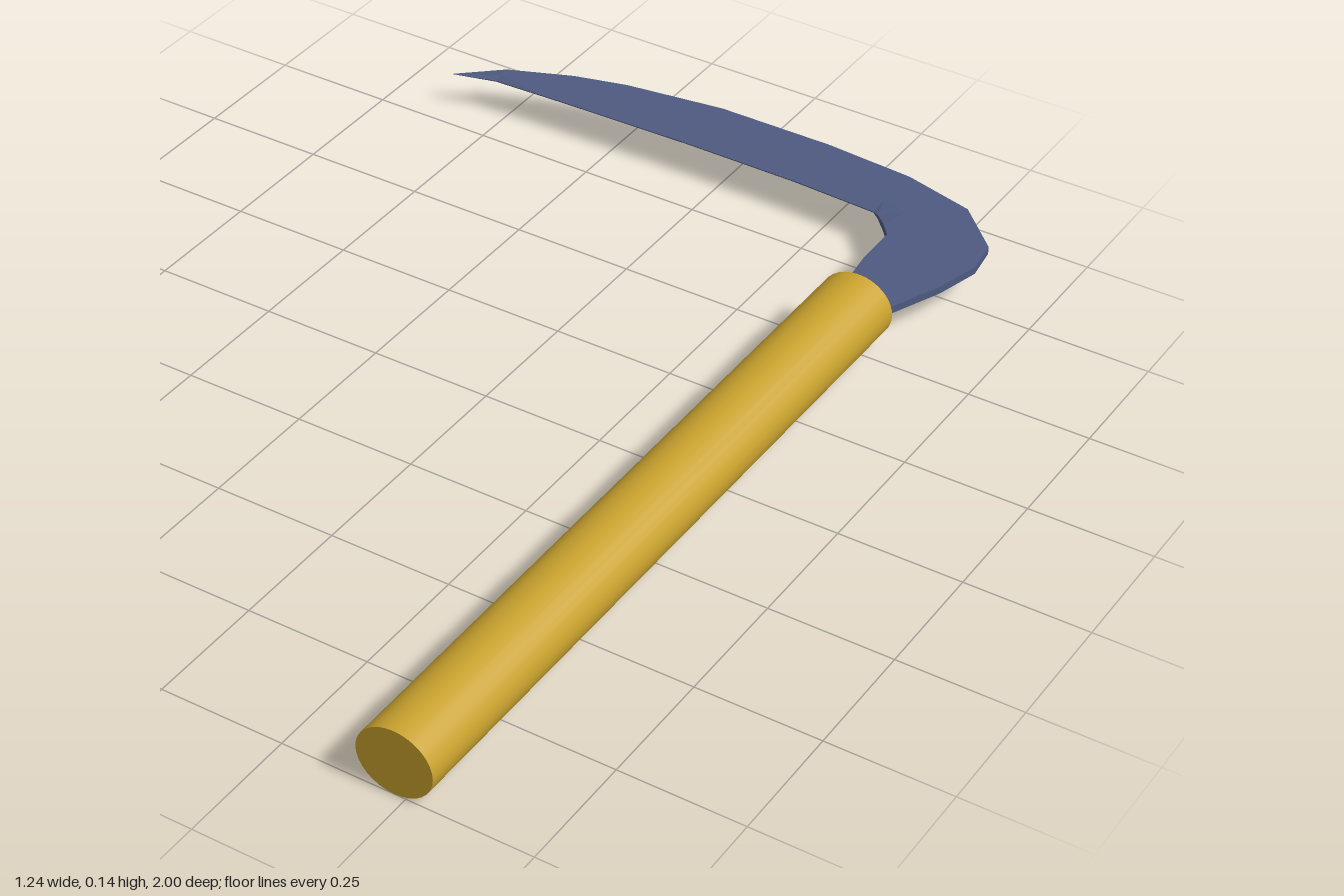
import * as THREE from 'three';

const MID_Y = 0.071;
const HALF = 0.008; // half thickness of the blade's spine

// Blade sections from tip to tang: spine x, z, inner edge x, z, half thickness of spine and of inner edge
const SECTIONS = [
  [-0.62, -0.82, -0.62, -0.82, 0.0005, 0.0005],
  [-0.53, -0.885, -0.53, -0.845, HALF, 0.001],
  [-0.40, -0.94, -0.40, -0.85, HALF, 0.001],
  [-0.29, -0.97, -0.29, -0.853, HALF, 0.001],
  [-0.08, -1.0, -0.08, -0.857, HALF, 0.001],
  [0.17, -1.0, 0.17, -0.855, HALF, 0.001],
  [0.36, -0.985, 0.355, -0.845, HALF, 0.001],
  [0.51, -0.945, 0.37, -0.835, HALF, 0.004],
  [0.605, -0.85, 0.395, -0.81, HALF, HALF],
  [0.615, -0.775, 0.42, -0.78, HALF, HALF],
  [0.59, -0.68, 0.42, -0.69, HALF, HALF],
  [0.54, -0.56, 0.435, -0.56, HALF, HALF],
  [0.53, -0.5, 0.44, -0.5, HALF, HALF],
];

// Six-point loop around one section: spine, bevel ridge, inner edge, and back underneath
function sectionLoop([ox, oz, ix, iz, spine, edge]) {
  const t = 0.68; // where the bevel starts, from spine to inner edge
  const rx = ox + (ix - ox) * t;
  const rz = oz + (iz - oz) * t;
  return [
    [ox, MID_Y + spine, oz], [rx, MID_Y + spine, rz], [ix, MID_Y + edge, iz],
    [ix, MID_Y - edge, iz], [rx, MID_Y - spine, rz], [ox, MID_Y - spine, oz],
  ];
}

function bladeGeometry() {
  const positions = [];
  const index = [];
  const n = 6;
  SECTIONS.forEach((section, i) => {
    positions.push(...sectionLoop(section).flat());
    if (i === SECTIONS.length - 1) return;
    for (let j = 0; j < n; j++) {
      const k = (j + 1) % n;
      const a = i * n + j, b = i * n + k, c = b + n, d = a + n;
      index.push(a, b, c, a, c, d);
    }
  });
  const geometry = new THREE.BufferGeometry();
  geometry.setAttribute('position', new THREE.Float32BufferAttribute(positions, 3));
  geometry.setIndex(index);
  geometry.computeVertexNormals();
  return geometry;
}

export function createModel() {
  const group = new THREE.Group();

  // Handle: slightly oval rod lying along z
  const handleGeometry = new THREE.CylinderGeometry(1, 1, 1.555, 32);
  handleGeometry.rotateX(Math.PI / 2);
  handleGeometry.scale(0.0765, 0.0685, 1);
  const handle = new THREE.Mesh(handleGeometry, new THREE.MeshStandardMaterial({ color: 0xc9a22e }));
  handle.name = 'handle';
  handle.position.set(0.4775, 0.0685, 0.2225);
  group.add(handle);

  // Blade with its bent tang sunk into the handle
  const blade = new THREE.Mesh(
    bladeGeometry(),
    new THREE.MeshStandardMaterial({ color: 0x4e5a80, flatShading: true }),
  );
  blade.name = 'blade';
  group.add(blade);

  return group;
}
